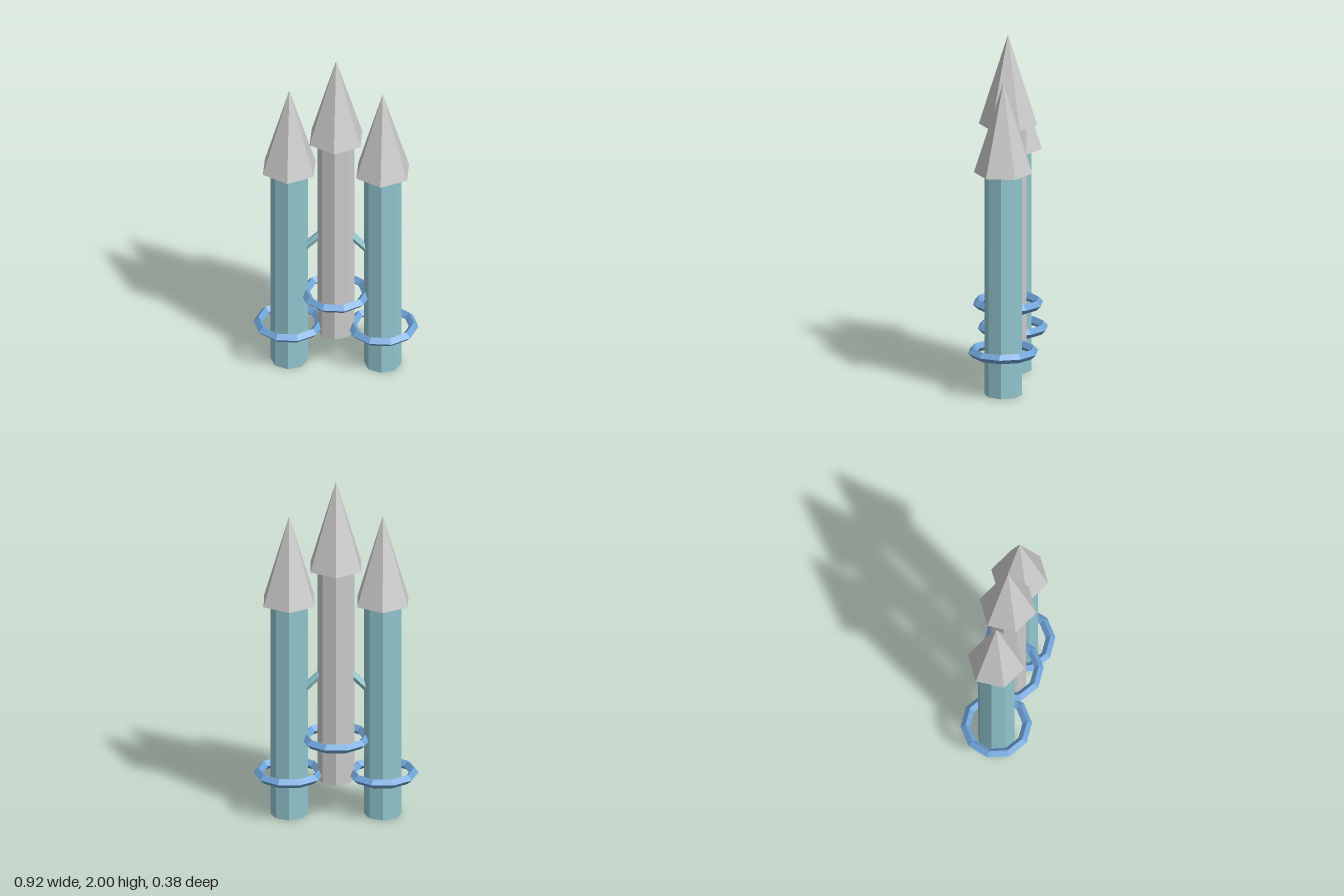
import * as THREE from 'three';

const material = (color) => new THREE.MeshStandardMaterial({ color, flatShading: true });

export function createModel() {
  const model = new THREE.Group();
  model.name = 'rocketCluster';

  const grey = material(0xcccccc);
  const cyan = material(0x91c6ce);
  const blue = material(0x6fa3d8);

  const add = (parent, name, geometry, mat, x, y) => {
    const mesh = new THREE.Mesh(geometry, mat);
    mesh.name = name;
    mesh.position.set(x, y, 0);
    parent.add(mesh);
    return mesh;
  };

  // One rocket: octagonal body, six-sided nose, faceted floating ring
  const bodyHeight = 1.275;
  const noseHeight = 0.515;
  const addRocket = (name, x, base, bodyMaterial) => {
    const rocket = new THREE.Group();
    rocket.name = name;
    rocket.position.set(x, base, 0);
    model.add(rocket);
    add(rocket, 'body', new THREE.CylinderGeometry(0.104, 0.104, bodyHeight, 8), bodyMaterial, 0, bodyHeight / 2);
    add(rocket, 'noseCone', new THREE.ConeGeometry(0.163, noseHeight, 6), grey, 0, bodyHeight + noseHeight / 2);
    const ring = add(rocket, 'ring', new THREE.TorusGeometry(0.172, 0.027, 4, 10), blue, 0, 0.247);
    ring.rotation.x = Math.PI / 2;
  };

  addRocket('centreRocket', 0, 0.21, grey);

  // Side boosters, each tied to the centre by a slanted strut
  for (const [side, label] of [[1, 'left'], [-1, 'right']]) {
    addRocket(label + 'Booster', side * 0.26, 0, cyan);
    const strut = add(model, label + 'Strut', new THREE.CylinderGeometry(0.022, 0.022, 0.2, 6), cyan, side * 0.13, 0.8);
    strut.rotation.z = side * Math.PI / 4;
  }

  return model;
}
